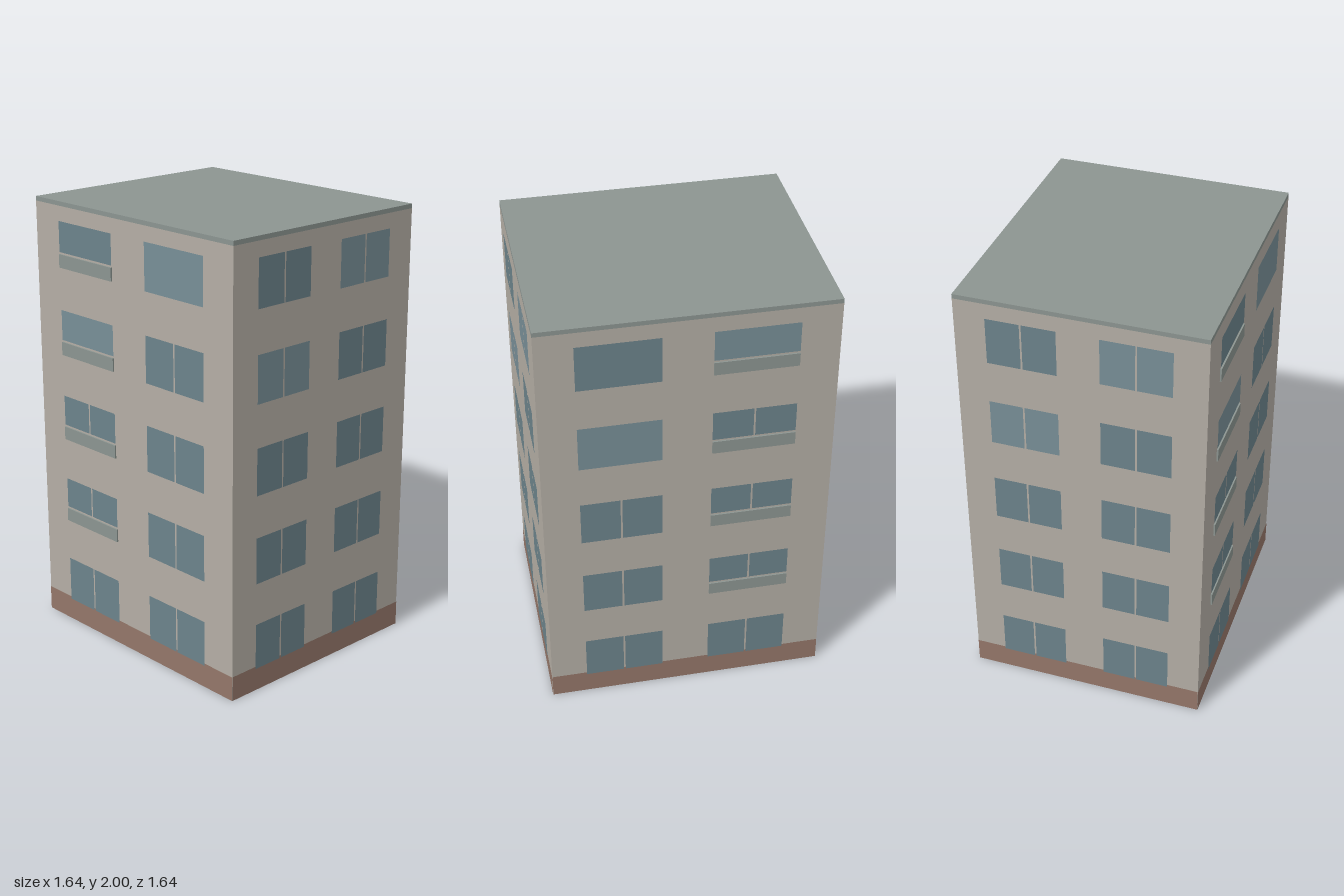
import * as THREE from 'three';

const mat = (color, side = THREE.FrontSide) => {
  const m = new THREE.MeshStandardMaterial({ side });
  m.color.set(color);
  return m;
};
const wallMat = mat(0xb4aea5, THREE.DoubleSide);
const baseMat = mat(0x947669);
const roofMat = mat(0x8c9591);
const balconyMat = mat(0x8c9591);
const glassMat = mat(0x6c838b);
const paleGlassMat = mat(0x788f97);

const HEIGHT = 2, ROOF = 0.02, FLOORS = 5, PITCH = 0.4;
// Footprint corners (x, z), walked so that each wall runs left to right seen from outside
const corners = [[-0.82, -0.07], [0.06, 0.82], [0.82, 0.07], [-0.06, -0.82]];
const columns = [[0.128, 0.41], [0.58, 0.865]]; // window spans as fractions of the wall

// Flat panel in wall space, x to the right, y up, z outwards
function panel(name, x0, x1, y0, y1, z, material) {
  const mesh = new THREE.Mesh(new THREE.PlaneGeometry(x1 - x0, y1 - y0), material);
  mesh.position.set((x0 + x1) / 2, (y0 + y1) / 2, z);
  mesh.name = name;
  return mesh;
}

// Window of one wide pane or two panes with a narrow gap
function makeWindow(x0, x1, y0, y1, split, material) {
  const g = new THREE.Group();
  g.name = 'window';
  const mid = (x0 + x1) / 2, gap = 0.004;
  if (split) {
    g.add(panel('leftPane', x0, mid - gap, y0, y1, 0.003, material));
    g.add(panel('rightPane', mid + gap, x1, y0, y1, 0.003, material));
  } else g.add(panel('pane', x0, x1, y0, y1, 0.003, material));
  return g;
}

// One facade; balconyColumn is -1 for none, single and pale list "column,floor" windows
function makeFacade(name, length, { balconyColumn, single, pale }) {
  const g = new THREE.Group();
  g.name = name;
  g.add(panel('wall', 0, length, 0, HEIGHT - ROOF, 0, wallMat));
  g.add(panel('plinth', 0, length, 0, 0.113, 0.0015, baseMat));
  columns.forEach(([f0, f1], c) => {
    const x0 = f0 * length, x1 = f1 * length;
    for (let f = 0; f < FLOORS; f++) {
      const y0 = 0.103 + f * PITCH, y1 = y0 + 0.21, key = `${c},${f}`;
      const hasBalcony = c === balconyColumn && f > 0;
      g.add(makeWindow(x0, x1, hasBalcony ? y0 + 0.072 : y0, y1,
        !single.includes(key), pale.includes(key) ? paleGlassMat : glassMat));
      if (hasBalcony) {
        const balcony = new THREE.Mesh(new THREE.BoxGeometry(x1 - x0, 0.06, 0.007), balconyMat);
        balcony.position.set((x0 + x1) / 2, y0 + 0.033, 0.0035);
        balcony.name = 'balcony';
        g.add(balcony);
      }
    }
  });
  return g;
}

export function createModel() {
  const model = new THREE.Group();
  model.name = 'apartmentBlock';

  const plain = { balconyColumn: -1, single: [], pale: ['0,3', '1,4'] };
  const facades = [
    ['frontRightFacade', { balconyColumn: 0, single: ['0,3', '0,4', '1,4'], pale: ['0,3', '1,4'] }],
    ['frontLeftFacade', plain],
    ['backLeftFacade', { balconyColumn: 1, single: ['0,3', '0,4', '1,4'], pale: ['0,3', '1,4'] }],
    ['backRightFacade', plain],
  ];
  facades.forEach(([name, options], i) => {
    const [ax, az] = corners[i], [bx, bz] = corners[(i + 1) % 4];
    const facade = makeFacade(name, Math.hypot(bx - ax, bz - az), options);
    facade.position.set(ax, 0, az);
    facade.rotation.y = Math.atan2(az - bz, bx - ax);
    model.add(facade);
  });

  // Flat roof slab
  const outline = new THREE.Shape(corners.map(([x, z]) => new THREE.Vector2(x, z)));
  const roofGeo = new THREE.ExtrudeGeometry(outline, { depth: ROOF, bevelEnabled: false });
  roofGeo.rotateX(Math.PI / 2);
  const roof = new THREE.Mesh(roofGeo, roofMat);
  roof.position.y = HEIGHT;
  roof.name = 'roof';
  model.add(roof);
  return model;
}
